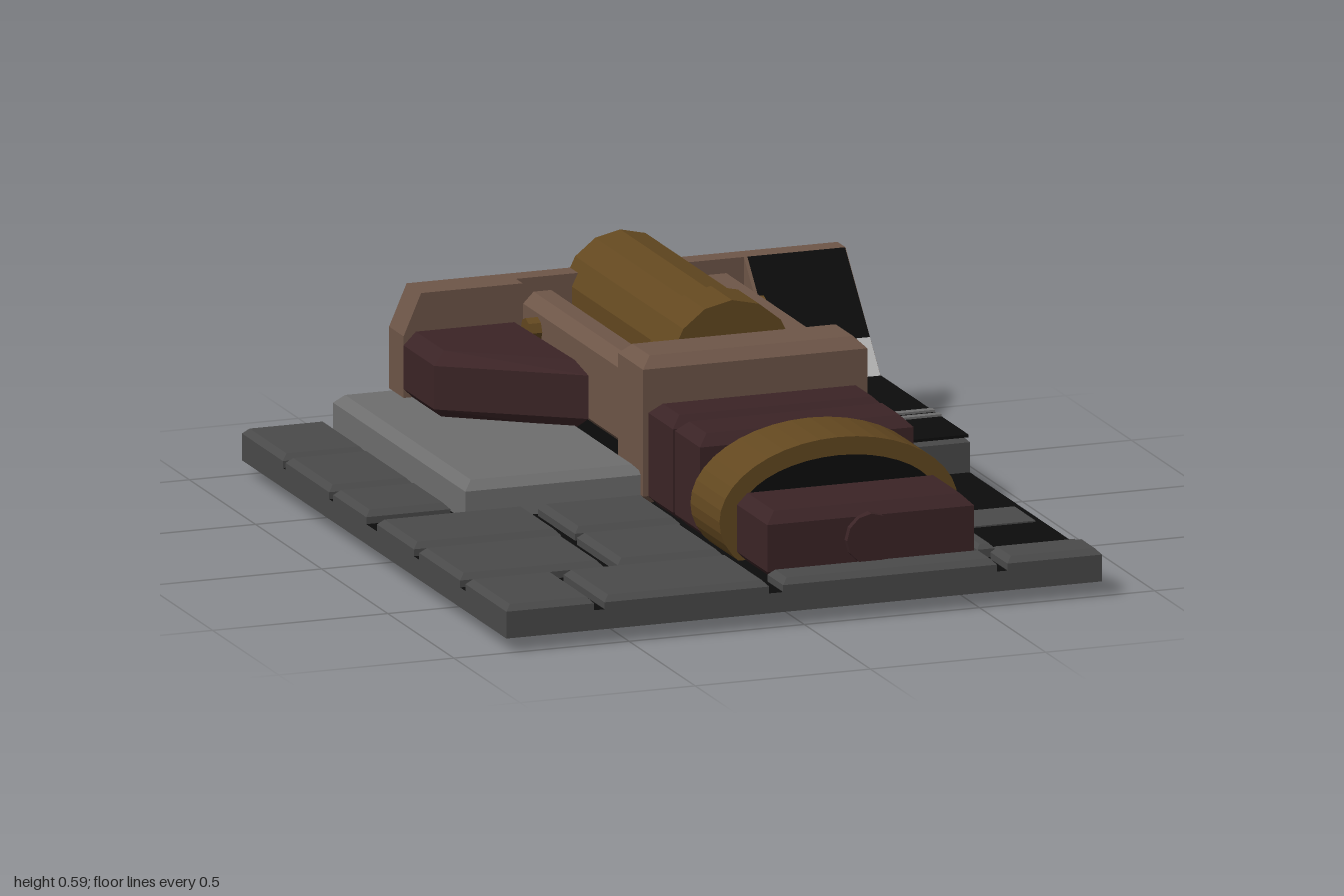
import * as THREE from 'three';

const mat = (name, color) => {
  const m = new THREE.MeshStandardMaterial({ color, flatShading: true });
  m.name = name;
  return m;
};

export function createModel() {
  const root = new THREE.Group();
  const stone = mat('dark stone', 0x4a4a4a);
  const slab = mat('grey slab', 0x6e6e6e);
  const black = mat('black', 0x0c0c0c);
  const brown = mat('brown metal', 0x6e5648);
  const gold = mat('bronze', 0x634820);
  const maroon = mat('maroon metal', 0x3b2426);
  const pale = mat('pale grey', 0xb4b4b4);

  const add = (name, geo, material) => {
    const mesh = new THREE.Mesh(geo, material);
    mesh.name = name;
    root.add(mesh);
    return mesh;
  };

  // Chamfered prism standing on y0, from an outline of [x, z] points
  const prism = (name, pts, y0, y1, bevel, material) => {
    const shape = new THREE.Shape(pts.map(([x, z]) => new THREE.Vector2(x, -z)));
    const geo = new THREE.ExtrudeGeometry(shape, {
      depth: y1 - y0 - 2 * bevel, bevelEnabled: bevel > 0, bevelSize: bevel,
      bevelThickness: bevel, bevelOffset: -bevel, bevelSegments: 1,
    });
    geo.rotateX(-Math.PI / 2).translate(0, y0 + bevel, 0);
    return add(name, geo, material);
  };
  const block = (name, x0, x1, y0, y1, z0, z1, bevel, material) =>
    prism(name, [[x0, z1], [x1, z1], [x1, z0], [x0, z0]], y0, y1, bevel, material);

  // Side profile of [z, y] points run along x
  const profile = (name, pts, x0, x1, material) => {
    const shape = new THREE.Shape(pts.map(([z, y]) => new THREE.Vector2(z, y)));
    const geo = new THREE.ExtrudeGeometry(shape, { depth: x1 - x0, bevelEnabled: false });
    geo.rotateY(-Math.PI / 2).translate(x1, 0, 0);
    return add(name, geo, material);
  };

  // Base with dark joints on top and a dark underside
  const base = add('base', new THREE.BoxGeometry(1.7, 0.055, 2),
    [stone, stone, black, black, stone, stone]);
  base.position.y = 0.0675;

  // Paving tiles: x0, x1, z0, z1
  [
    [-0.85, -0.61, -1, -0.69], [-0.85, -0.61, -0.67, -0.34], [-0.85, -0.61, -0.31, -0.06],
    [-0.85, -0.43, 0.02, 0.3], [-0.39, -0.09, 0.02, 0.3],
    [-0.85, -0.44, 0.34, 0.65], [-0.4, -0.1, 0.34, 0.65],
    [-0.85, -0.6, 0.69, 1], [-0.57, -0.1, 0.69, 1],
    [-0.06, 0.55, 0.88, 1], [0.58, 0.85, 0.87, 1],
  ].forEach(([x0, x1, z0, z1]) => block('pavingTile', x0, x1, 0.07, 0.13, z0, z1, 0.016, stone));

  // Sunken bay on the left, with its rim
  block('bayRimInner', 0.55, 0.6, 0.07, 0.13, 0.03, 0.85, 0.012, stone);
  block('bayRimFront', 0.6, 0.85, 0.07, 0.115, 0.81, 0.85, 0.012, stone);
  block('bayFloorPatch', 0.65, 0.83, 0.09, 0.099, 0.39, 0.55, 0, stone);

  // Raised slabs either side of the machine
  block('rightSlab', -0.59, -0.08, 0.07, 0.2, -1, 0, 0.025, slab);
  block('leftSlab', 0.54, 0.85, 0.07, 0.19, -1, 0, 0.012, stone);
  block('leftSlabTop', 0.55, 0.85, 0.189, 0.197, -0.97, -0.01, 0, black);
  [-0.285, -0.235].forEach((z) => block('slabStrip', 0.58, 0.85, 0.196, 0.203, z, z + 0.022, 0, slab));
  block('machineCore', -0.05, 0.51, 0.08, 0.38, -0.97, 0, 0, black);

  // Back wall with a raking buttress on the left
  profile('backWall', [[-1, 0.19], [-0.94, 0.19], [-0.94, 0.485], [-1, 0.485]], -0.1, 0.57, brown);
  profile('leftButtress', [[-1, 0.19], [-0.67, 0.19], [-0.94, 0.485], [-1, 0.485]], 0.56, 0.85, brown);
  profile('buttressLowerPlate', [[-0.755, 0.28], [-0.673, 0.19], [-0.668, 0.194], [-0.75, 0.284]], 0.57, 0.848, pale);
  profile('buttressUpperPlate', [[-0.943, 0.485], [-0.755, 0.28], [-0.75, 0.284], [-0.938, 0.485]], 0.57, 0.848, black);

  // Right end of the wall, with clipped top corner
  const cap = new THREE.Shape([[-0.43, 0.2], [-0.09, 0.2], [-0.09, 0.485], [-0.38, 0.485], [-0.43, 0.37]]
    .map(([x, y]) => new THREE.Vector2(x, y)));
  add('backWallEnd', new THREE.ExtrudeGeometry(cap, { depth: 0.11, bevelEnabled: false }).translate(0, 0, -1), brown);
  prism('cornerHousing', [[-0.43, -0.66], [-0.08, -0.42], [-0.08, -0.96], [-0.43, -0.96]], 0.19, 0.38, 0.035, maroon);

  // Brown cradle: head block and two side rails
  block('cradleHead', -0.09, 0.55, 0.09, 0.5, -0.17, 0.02, 0.03, brown);
  block('cradleRail', -0.07, 0.04, 0.19, 0.445, -0.97, -0.14, 0.03, brown);
  block('cradleRail', 0.42, 0.54, 0.19, 0.445, -0.97, -0.14, 0.03, brown);
  for (const x of [-0.085, 0.555]) {
    const knob = add('sideKnob', new THREE.CylinderGeometry(0.035, 0.035, 0.04, 8), gold);
    knob.rotation.z = Math.PI / 2;
    knob.position.set(x, 0.37, -0.83);
  }

  // Bronze cylinder lying in the cradle, with a collar
  const rod = (name, r, x, y, z0, z1, sides, material) => {
    const mesh = add(name, new THREE.CylinderGeometry(r, r, z1 - z0, sides), material);
    mesh.rotation.x = Math.PI / 2;
    mesh.position.set(x, y, (z0 + z1) / 2);
    return mesh;
  };
  rod('barrel', 0.165, 0.23, 0.412, -1, -0.3, 14, gold);
  rod('barrelCollar', 0.178, 0.23, 0.412, -0.315, -0.155, 14, gold);

  // Maroon engine blocks at the front
  block('engineBlock', -0.075, 0.535, 0.09, 0.38, 0.02, 0.205, 0.03, maroon);
  block('engineBlock', -0.075, 0.535, 0.09, 0.38, 0.22, 0.41, 0.03, maroon);
  block('engineLink', -0.03, 0.49, 0.09, 0.33, 0.19, 0.46, 0, maroon);
  block('engineNose', -0.06, 0.53, 0.09, 0.28, 0.62, 0.88, 0.03, maroon);
  rod('noseKnob', 0.07, 0.23, 0.19, 0.85, 0.9, 12, maroon);

  // Oval bronze band around the engine
  const oval = new THREE.Shape().absellipse(0.23, 0.205, 0.34, 0.205, 0, Math.PI * 2);
  const hole = new THREE.Path().absellipse(0.23, 0.205, 0.29, 0.155, 0, Math.PI * 2);
  oval.holes.push(hole);
  add('bronzeBand', new THREE.ExtrudeGeometry(oval, { depth: 0.22, bevelEnabled: false, curveSegments: 20 })
    .translate(0, 0, 0.43), gold);
  const fill = new THREE.Shape().absellipse(0.23, 0.205, 0.295, 0.16, 0, Math.PI * 2);
  add('bandCore', new THREE.ExtrudeGeometry(fill, { depth: 0.18, bevelEnabled: false, curveSegments: 20 })
    .translate(0, 0, 0.45), black);

  // Bronze underside showing below the base
  const under = new THREE.Shape([[0.03, 0.042], [0.12, 0.012], [0.23, 0], [0.34, 0.012], [0.43, 0.042]]
    .map(([x, y]) => new THREE.Vector2(x, y)));
  add('bandUnderside', new THREE.ExtrudeGeometry(under, { depth: 0.2, bevelEnabled: false })
    .translate(0, 0, 0.44), gold);

  return root;
}
